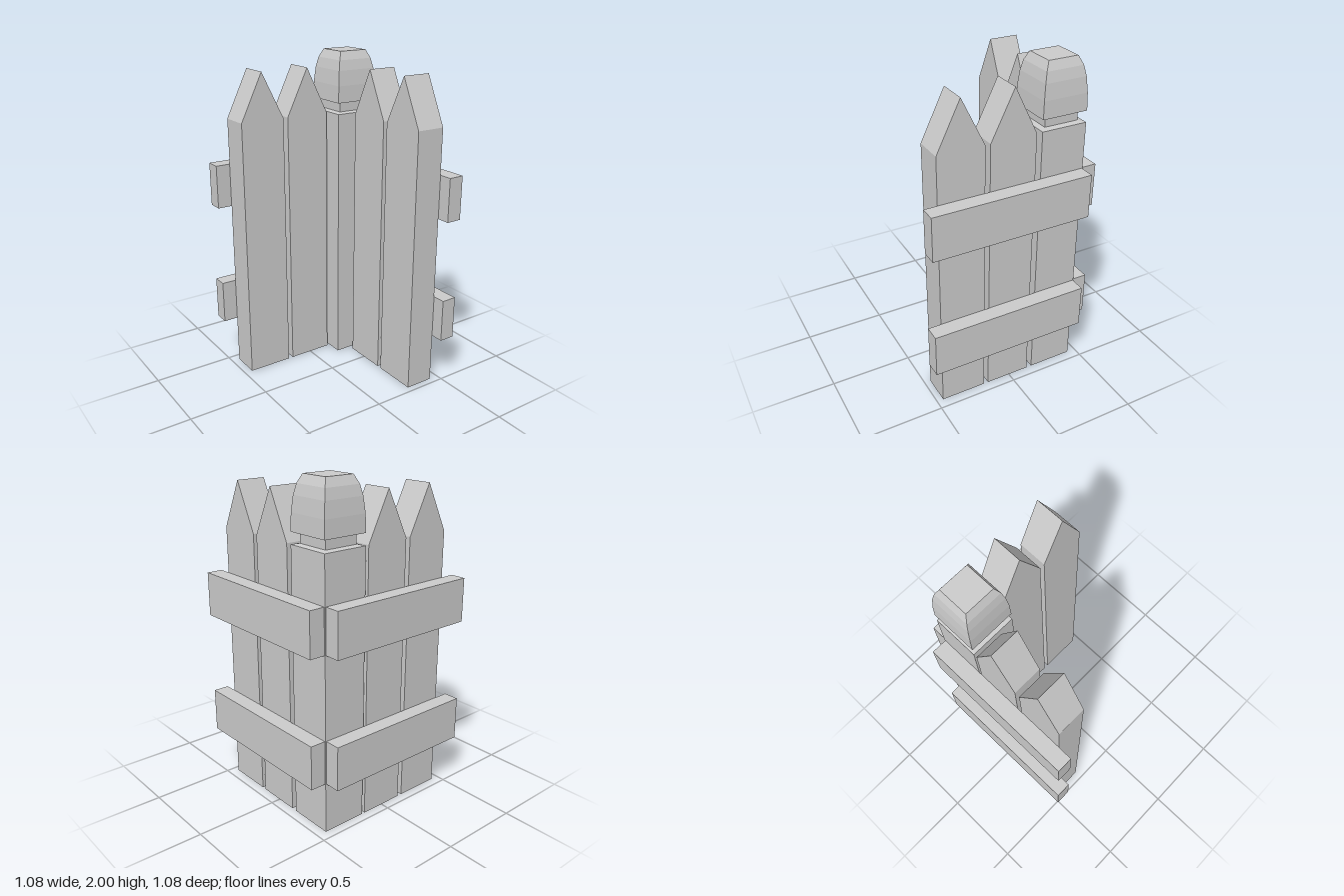
import * as THREE from 'three';

const solid = new THREE.MeshStandardMaterial({ color: 0xcccccc, flatShading: true });
const open = new THREE.MeshStandardMaterial({ color: 0xcccccc, flatShading: true, side: THREE.DoubleSide });

// Pointed board, centred on x and z, hollow underneath
function picketGeometry(width, depth, shoulder, peak) {
  const w = width / 2;
  const outline = new THREE.Shape([[-w, 0], [w, 0], [w, shoulder], [0, peak], [-w, shoulder]]
    .map(([x, y]) => new THREE.Vector2(x, y)));
  const board = new THREE.ExtrudeGeometry(outline, { depth, bevelEnabled: false });
  board.translate(0, 0, -depth / 2);
  const p = board.attributes.position.array;
  const kept = [];
  for (let i = 0; i < p.length; i += 9) {
    if (p[i + 1] + p[i + 4] + p[i + 7] > 0.001) kept.push(...p.slice(i, i + 9));
  }
  const geometry = new THREE.BufferGeometry();
  geometry.setAttribute('position', new THREE.Float32BufferAttribute(kept, 3));
  geometry.computeVertexNormals();
  return geometry;
}

// Square turned profile; each point is [half width, height]
function squareProfile(points) {
  const profile = points.map(([h, y]) => new THREE.Vector2(h * Math.SQRT2, y));
  return new THREE.LatheGeometry(profile, 4, Math.PI / 4);
}

export function createModel() {
  const group = new THREE.Group();
  const add = (name, geometry, material, x, y, z, turn = 0) => {
    const mesh = new THREE.Mesh(geometry, material);
    mesh.name = name;
    mesh.position.set(x, y, z);
    mesh.rotation.y = turn;
    group.add(mesh);
  };

  // Pickets of the back run and the side run
  const picket = picketGeometry(0.28, 0.18, 1.63, 1.915);
  for (const x of [-0.31, 0]) add('backPicket', picket, open, x, 0, -0.355);
  for (const z of [0.01, 0.32]) add('sidePicket', picket, open, 0.35, 0, z, Math.PI / 2);

  // Two horizontal rails on each run
  for (const y of [0.445, 1.217]) {
    add('backRail', new THREE.BoxGeometry(0.973, 0.268, 0.095), solid, -0.053, y, -0.4925);
    add('sideRail', new THREE.BoxGeometry(0.096, 0.268, 0.98), solid, 0.489, y, 0.05);
  }

  // Corner post with a narrow neck and a rounded cap
  add('cornerPost', squareProfile([[0.14, 0], [0.14, 1.63], [0.105, 1.637]]), open, 0.3, 0, -0.305);
  add('postNeck', squareProfile([[0.105, 1.637], [0.105, 1.69]]), open, 0.3, 0, -0.305);
  add('postCap', squareProfile([
    [0.105, 1.69], [0.14, 1.698], [0.137, 1.8], [0.128, 1.89], [0.115, 1.95], [0.092, 2], [0, 2],
  ]), open, 0.3, 0, -0.305);

  return group;
}
